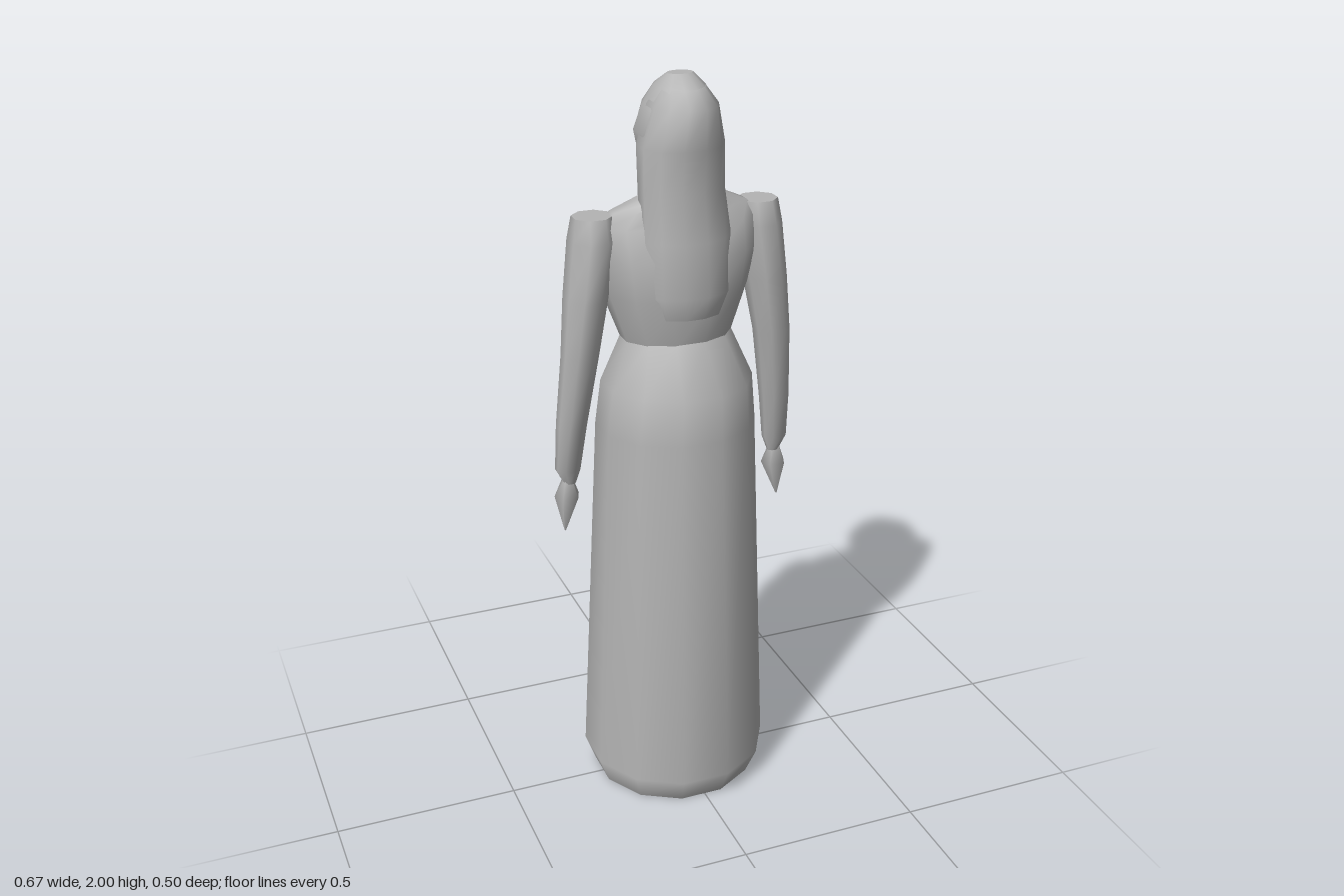
import * as THREE from 'three';

const grey = new THREE.MeshStandardMaterial({ color: 0xb4b4b4 });
grey.name = 'stone grey';

// Skin horizontal rings, listed bottom to top as [y, xMin, xMax, zMin, zMax, squareness].
function loft(name, rings, sides = 12, phase = 0.5) {
  const pos = [], idx = [];
  const bend = (v, p) => Math.sign(v) * Math.pow(Math.abs(v), p);
  for (const [y, x0, x1, z0, z1, p = 1] of rings) {
    const dirs = [];
    for (let i = 0; i < sides; i++) {
      const a = ((i + phase) / sides) * Math.PI * 2;
      dirs.push([bend(Math.sin(a), p), bend(Math.cos(a), p)]);
    }
    const mx = Math.max(...dirs.map(d => Math.abs(d[0])));
    const mz = Math.max(...dirs.map(d => Math.abs(d[1])));
    for (const [dx, dz] of dirs) {
      pos.push((x0 + x1) / 2 + dx / mx * (x1 - x0) / 2, y, (z0 + z1) / 2 + dz / mz * (z1 - z0) / 2);
    }
  }
  for (let r = 0; r < rings.length - 1; r++) {
    for (let i = 0; i < sides; i++) {
      const a = r * sides + i, b = r * sides + (i + 1) % sides;
      idx.push(a, b, b + sides, a, b + sides, a + sides);
    }
  }
  // Close both ends with separate rings so the caps stay flat
  for (const r of [0, rings.length - 1]) {
    const base = pos.length / 3;
    for (let i = 0; i < sides * 3; i++) pos.push(pos[r * sides * 3 + i]);
    for (let i = 1; i < sides - 1; i++) {
      if (r === 0) idx.push(base, base + i + 1, base + i);
      else idx.push(base, base + i, base + i + 1);
    }
  }
  const g = new THREE.BufferGeometry();
  g.setAttribute('position', new THREE.Float32BufferAttribute(pos, 3));
  g.setIndex(idx);
  g.computeVertexNormals();
  const mesh = new THREE.Mesh(g, grey);
  mesh.name = name;
  return mesh;
}

export function createModel() {
  const model = new THREE.Group();
  model.name = 'robedWoman';

  // Long gown from hem to waist
  model.add(loft('skirt', [
    [0, -0.23, 0.21, -0.23, 0.21],
    [0.08, -0.26, 0.235, -0.25, 0.25],
    [1.08, -0.215, 0.2, -0.19, 0.195],
    [1.2, -0.2, 0.19, -0.18, 0.19],
    [1.33, -0.15, 0.135, -0.1, 0.11],
  ]));

  // Bodice: waist, bust, chest and sloping shoulders
  model.add(loft('bodice', [
    [1.32, -0.15, 0.135, -0.1, 0.11],
    [1.45, -0.195, 0.18, -0.145, 0.13, 0.9],
    [1.55, -0.21, 0.2, -0.11, 0.12, 0.9],
    [1.63, -0.22, 0.21, -0.07, 0.09],
    [1.665, -0.18, 0.18, -0.055, 0.07],
    [1.7, -0.1, 0.1, -0.05, 0.08],
    [1.74, -0.05, 0.045, -0.045, 0.07],
  ]));

  // Head with a narrow chin and rounded crown
  model.add(loft('head', [
    [1.71, -0.04, 0.03, -0.085, 0.06],
    [1.74, -0.065, 0.055, -0.11, 0.09],
    [1.8, -0.095, 0.08, -0.113, 0.12],
    [1.86, -0.11, 0.095, -0.11, 0.135],
    [1.92, -0.092, 0.083, -0.1, 0.143],
    [1.97, -0.065, 0.058, -0.055, 0.095],
    [2, -0.035, 0.03, -0.005, 0.045],
  ]));

  // Long hair falling down the back
  model.add(loft('hair', [
    [1.4, -0.1, 0.09, 0, 0.135],
    [1.46, -0.12, 0.11, 0, 0.15],
    [1.6, -0.12, 0.11, -0.01, 0.143],
    [1.72, -0.115, 0.1, -0.04, 0.128],
    [1.83, -0.115, 0.1, -0.06, 0.138],
    [1.93, -0.088, 0.08, -0.06, 0.146],
    [1.97, -0.06, 0.055, -0.03, 0.095],
  ]));

  // Pointed nose
  const nose = new THREE.Mesh(new THREE.ConeGeometry(0.03, 0.06, 4), grey);
  nose.name = 'nose';
  nose.rotation.x = -Math.PI / 2;
  nose.scale.x = 0.45;
  nose.position.set(-0.005, 1.835, -0.122);
  model.add(nose);

  // Sleeved arms and small pointed hands, hanging at both sides
  const armRings = [
    [0.93, 0.275, 0.305, -0.03, -0.005],
    [0.97, 0.262, 0.326, -0.045, 0.005],
    [1.1, 0.247, 0.322, -0.045, 0.03],
    [1.3, 0.217, 0.308, -0.035, 0.058],
    [1.45, 0.19, 0.295, -0.055, 0.068],
    [1.6, 0.165, 0.278, -0.063, 0.068],
    [1.66, 0.17, 0.268, -0.045, 0.05],
  ];
  const handRings = [
    [0.79, 0.304, 0.308, -0.022, -0.018],
    [0.89, 0.262, 0.33, -0.052, 0.01],
    [0.95, 0.283, 0.307, -0.03, -0.01],
  ];
  for (const side of [1, -1]) {
    const place = ([y, x0, x1, z0, z1]) =>
      side > 0 ? [y, x0, x1, z0, z1] : [y, -x1 - 0.01, -x0 - 0.01, z0, z1];
    const label = side > 0 ? 'left' : 'right';
    model.add(loft(label + 'Arm', armRings.map(place), 8));
    model.add(loft(label + 'Hand', handRings.map(place), 5));
  }
  return model;
}
